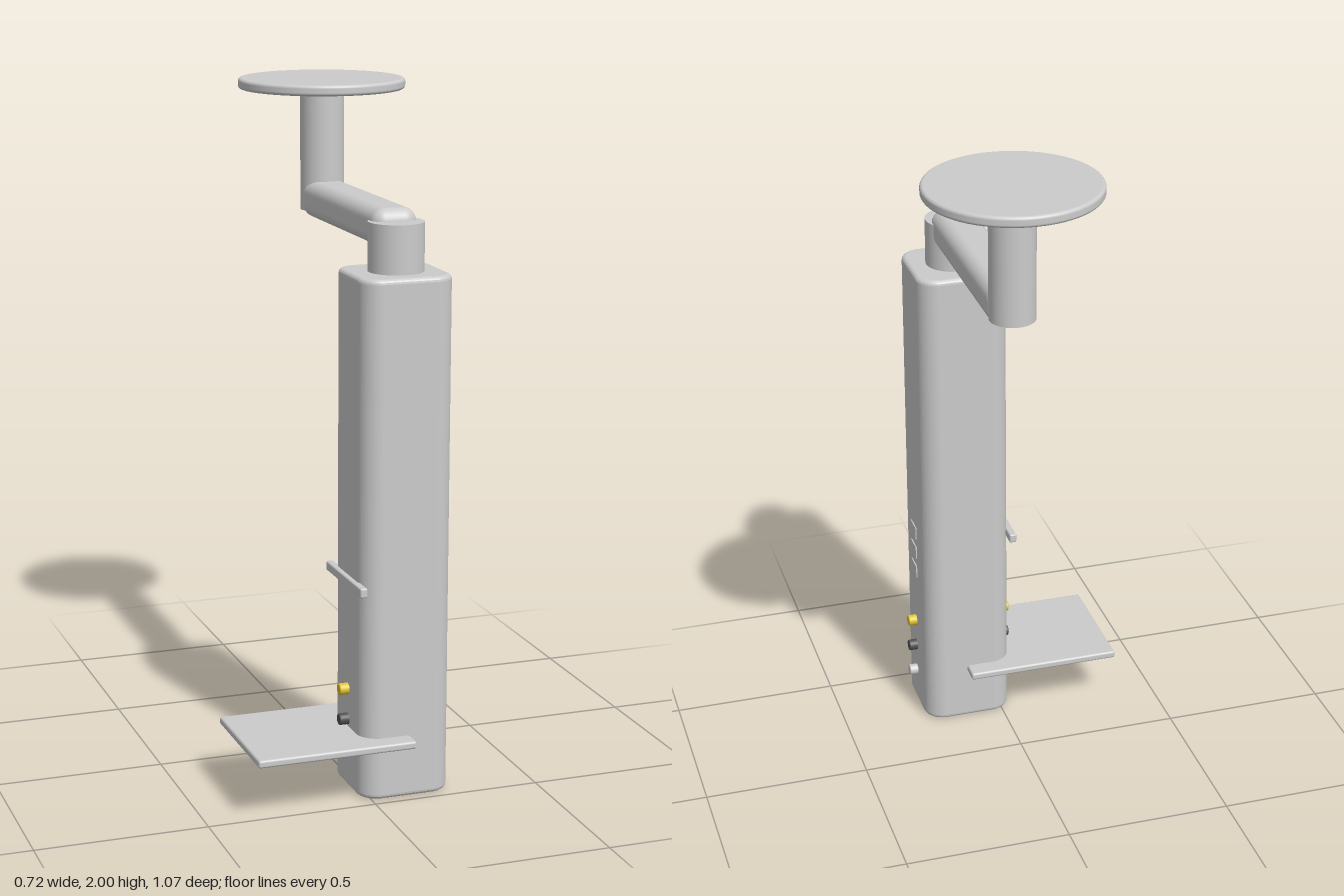
import * as THREE from 'three';
import { RoundedBoxGeometry } from 'three/addons/geometries/RoundedBoxGeometry.js';

const X = 0.11, Z = 0.34, POST_Z = -0.285;

export function createModel() {
  const model = new THREE.Group();
  const paint = (color) => new THREE.MeshStandardMaterial({ color });
  const grey = paint(0xcccccc), yellow = paint(0xe0c42e), dark = paint(0x505050);

  function add(name, geometry, x, y, z, material = grey) {
    const mesh = new THREE.Mesh(geometry, material);
    mesh.name = name;
    mesh.position.set(x, y, z);
    model.add(mesh);
    return mesh;
  }

  // Round part with softened rims, standing on its local y = 0
  function roundPart(radius, height, bevel, segments = 64) {
    const profile = new THREE.Path();
    profile.moveTo(0, 0);
    profile.lineTo(radius - bevel, 0);
    profile.absarc(radius - bevel, bevel, bevel, -Math.PI / 2, 0, false);
    profile.lineTo(radius, height - bevel);
    profile.absarc(radius - bevel, height - bevel, bevel, 0, Math.PI / 2, false);
    profile.lineTo(0, height);
    return new THREE.LatheGeometry(profile.getPoints(5), segments);
  }

  // Square column: rounded vertical corners, small bevel at both ends
  const w = 0.275, d = 0.27, h = 1.52, bevel = 0.014;
  const a = w / 2 - bevel, b = d / 2 - bevel, r = 0.048;
  const outline = new THREE.Shape();
  outline.absarc(a - r, b - r, r, 0, Math.PI / 2, false);
  outline.absarc(-a + r, b - r, r, Math.PI / 2, Math.PI, false);
  outline.absarc(-a + r, -b + r, r, Math.PI, Math.PI * 1.5, false);
  outline.absarc(a - r, -b + r, r, Math.PI * 1.5, Math.PI * 2, false);
  const column = new THREE.ExtrudeGeometry(outline, {
    depth: h - 2 * bevel, bevelSize: bevel, bevelThickness: bevel, bevelSegments: 4, curveSegments: 8,
  });
  column.rotateX(-Math.PI / 2).translate(0, bevel, 0);
  add('column', column, X - 0.002, 0, Z);

  // Swivel arm carrying the round plate
  add('swivelCollar', new THREE.CylinderGeometry(0.08, 0.08, 0.16, 48), X, 1.58, Z + 0.003);
  add('arm', new RoundedBoxGeometry(0.134, 0.11, 0.65, 5, 0.04), X, 1.64, 0.03);
  add('post', new THREE.CylinderGeometry(0.066, 0.066, 0.375, 48), X, 1.7925, POST_Z);
  add('topPlate', roundPart(0.25, 0.032, 0.01), X - 0.002, 1.968, POST_Z);

  // Side shelf and the rail above it
  add('shelf', new RoundedBoxGeometry(0.475, 0.023, 0.38, 3, 0.007), -0.1225, 0.176, Z);
  add('rail', new RoundedBoxGeometry(0.022, 0.028, 0.296, 3, 0.005), -0.033, 0.632, Z);

  // Three buttons on each side of the column
  const buttons = [
    ['upperButton', 0.302, yellow],
    ['middleButton', 0.21, dark],
    ['lowerButton', 0.117, grey],
  ];
  for (const [name, y, material] of buttons) {
    for (const side of [1, -1]) {
      const button = add(name, roundPart(0.017, 0.045, 0.004, 24),
        side > 0 ? 0.227 : -0.013, y, Z + 0.003, material);
      button.rotation.z = -side * Math.PI / 2;
    }
  }

  // Column of thin tiles on the left face
  for (let i = 0; i < 3; i++) {
    add('tile', new THREE.BoxGeometry(0.012, 0.041, 0.058), 0.243, 0.63 - i * 0.069, Z + 0.003);
  }
  return model;
}
